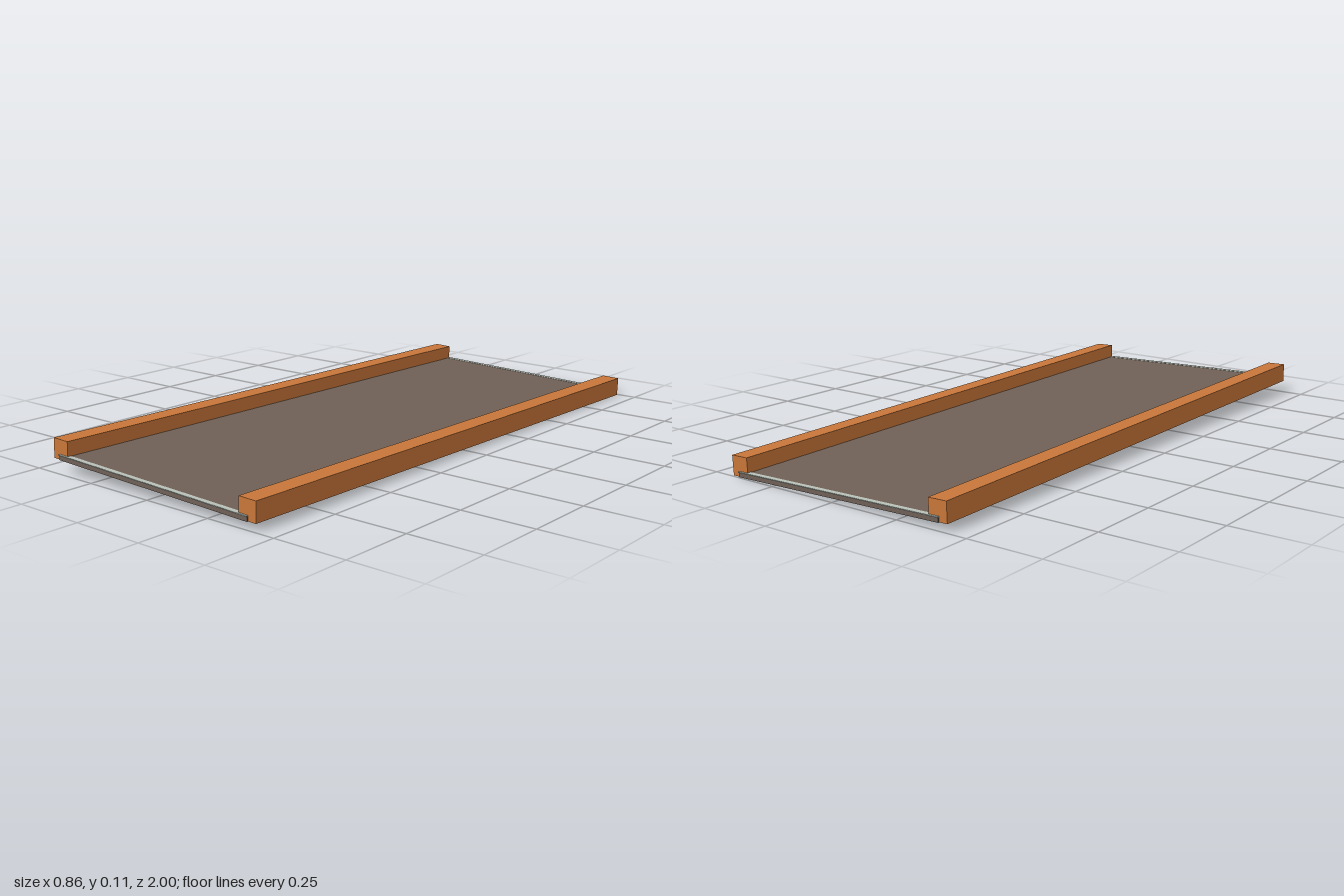
import * as THREE from 'three';

const mat = (name, color) => {
  const m = new THREE.MeshStandardMaterial({ color });
  m.name = name;
  return m;
};

export function createModel() {
  const orange = mat('orange rail', 0xc87639);
  const brown = mat('brown deck', 0x6f6056);
  const pale = mat('pale trim', 0xb8c0b8);

  const model = new THREE.Group();
  model.name = 'rampPanel';

  // The whole panel leans slightly: left side low, front end high
  const panel = new THREE.Group();
  panel.name = 'panel';
  panel.position.y = 0.0247;
  panel.rotation.set(-0.011, 0, -0.027);
  model.add(panel);

  const box = (name, material, w, h, d, x, bottom, z) => {
    const mesh = new THREE.Mesh(new THREE.BoxGeometry(w, h, d), material);
    mesh.name = name;
    mesh.position.set(x, bottom + h / 2, z);
    panel.add(mesh);
  };

  // Flat deck, its underside just proud of the rails
  box('deck', brown, 0.8, 0.0168, 1.994, 0, -0.0003, 0);

  // Side rails
  for (const s of [-1, 1]) {
    box(s > 0 ? 'leftRail' : 'rightRail', orange, 0.065, 0.065, 1.986, s * 0.3965, 0, 0);
  }

  // Thin trim strips along both ends of the deck
  for (const s of [-1, 1]) {
    box(s > 0 ? 'frontTrim' : 'backTrim', pale, 0.8, 0.003, 0.018, 0, 0.0145, s * 0.991);
  }

  return model;
}
